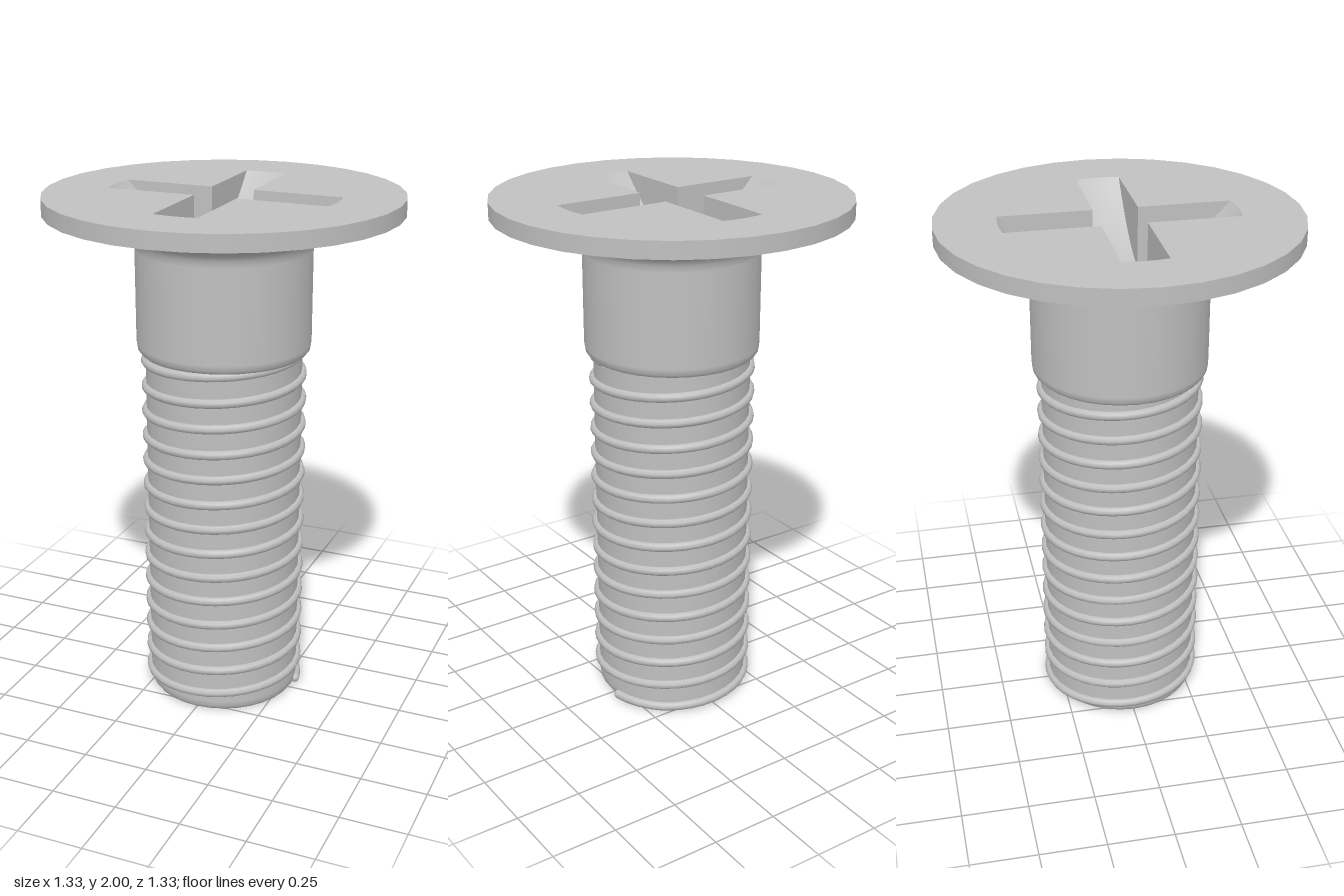
import * as THREE from 'three';
import { ParametricGeometry } from 'three/addons/geometries/ParametricGeometry.js';

const SIDES = 32, HEAD_R = 0.663, CORE_R = 0.297;
const SLOT_W = 0.083, SLOT_R = 0.435, SLOT_DEPTH = 0.25;

export function createModel() {
  const steel = new THREE.MeshStandardMaterial({ color: 0xc0c0c0, side: THREE.DoubleSide });
  steel.name = 'steel';
  const screw = new THREE.Group();
  screw.name = 'screw';

  const add = (name, geometry, parent = screw) => {
    const mesh = new THREE.Mesh(geometry, steel);
    mesh.name = name;
    parent.add(mesh);
    return mesh;
  };
  const lathe = (name, profile) =>
    add(name, new THREE.LatheGeometry(profile.map(([r, y]) => new THREE.Vector2(r, y)), SIDES));

  // Threaded core with a rounded lower edge and flat end
  lathe('core', [[0.27, 0.003], [0.285, 0.008], [0.294, 0.022], [CORE_R, 0.045], [CORE_R, 1.43]]);
  const end = add('coreEnd', new THREE.CircleGeometry(0.27, SIDES).rotateX(Math.PI / 2));
  end.position.y = 0.003;

  // Plain shank flaring into the underside of the head
  lathe('shank', [[0.295, 1.405], [0.315, 1.41], [0.326, 1.422], [0.33, 1.445], [0.33, 1.8],
    [0.333, 1.825], [0.345, 1.846], [0.37, 1.859], [0.41, 1.872], [HEAD_R, 1.937]]);
  lathe('headRim', [[HEAD_R, 1.937], [HEAD_R, 2]]);

  // Helical thread ridge
  const TURNS = 14, PITCH = 0.1005, THREAD_R = 0.018;
  class Helix extends THREE.Curve {
    getPoint(t, target = new THREE.Vector3()) {
      const a = 0.17 + t * (TURNS * Math.PI * 2 - 0.17);
      const y = Math.max(0.006 + PITCH * a / (Math.PI * 2), 0.02);
      return target.set(CORE_R * Math.cos(a), y, -CORE_R * Math.sin(a));
    }
  }
  const helix = new Helix();
  helix.arcLengthDivisions = 1500;
  add('thread', new THREE.TubeGeometry(helix, TURNS * 36, THREAD_R, 8));
  add('threadTip', new THREE.SphereGeometry(THREAD_R, 10, 8)).position.copy(helix.getPoint(0));

  // Flat head face with a cross-shaped opening
  const ring = [];
  for (let i = 0; i < SIDES; i++) {
    const a = i / SIDES * Math.PI * 2;
    ring.push(new THREE.Vector2(HEAD_R * Math.cos(a), HEAD_R * Math.sin(a)));
  }
  const face = new THREE.Shape(ring);
  const armEnd = u => Math.sqrt(SLOT_R * SLOT_R - u * u);
  const cross = [];
  for (let k = 0; k < 4; k++) {
    const turn = new THREE.Vector2();
    for (let j = 0; j <= 4; j++) {
      const u = SLOT_W * (j / 2 - 1);
      cross.push(new THREE.Vector2(armEnd(u), u).rotateAround(turn, k * Math.PI / 2));
    }
    cross.push(new THREE.Vector2(SLOT_W, SLOT_W).rotateAround(turn, k * Math.PI / 2));
  }
  face.holes.push(new THREE.Path(cross));
  add('headFace', new THREE.ShapeGeometry(face).rotateX(-Math.PI / 2)).position.y = 2;

  // Cross recess: a bowl-shaped floor between upright walls
  const floorY = (x, z) => 2 - SLOT_DEPTH * Math.max(0, 1 - (x * x + z * z) / (SLOT_R * SLOT_R));
  const recess = new THREE.Group();
  recess.name = 'crossRecess';
  screw.add(recess);
  add('recessCentre', new ParametricGeometry((s, t, p) => {
    const x = SLOT_W * (2 * t - 1), z = SLOT_W * (2 * s - 1);
    p.set(x, floorY(x, z), z);
  }, 4, 4), recess);

  const armFloor = new ParametricGeometry((s, t, p) => {
    const z = SLOT_W * (2 * s - 1);
    const x = THREE.MathUtils.lerp(SLOT_W, armEnd(z), t);
    p.set(x, floorY(x, z), z);
  }, 4, 12);
  const armWall = side => new ParametricGeometry((s, t, p) => {
    const z = side * SLOT_W;
    const along = side > 0 ? s : 1 - s;
    const x = THREE.MathUtils.lerp(SLOT_W, armEnd(z), along);
    p.set(x, THREE.MathUtils.lerp(2, floorY(x, z), t), z);
  }, 12, 1);
  const walls = [armWall(1), armWall(-1)];
  for (let k = 0; k < 4; k++) {
    const arm = new THREE.Group();
    arm.name = 'recessArm' + (k + 1);
    arm.rotation.y = k * Math.PI / 2;
    add('armFloor', armFloor, arm);
    walls.forEach(w => add('armWall', w, arm));
    recess.add(arm);
  }
  return screw;
}
